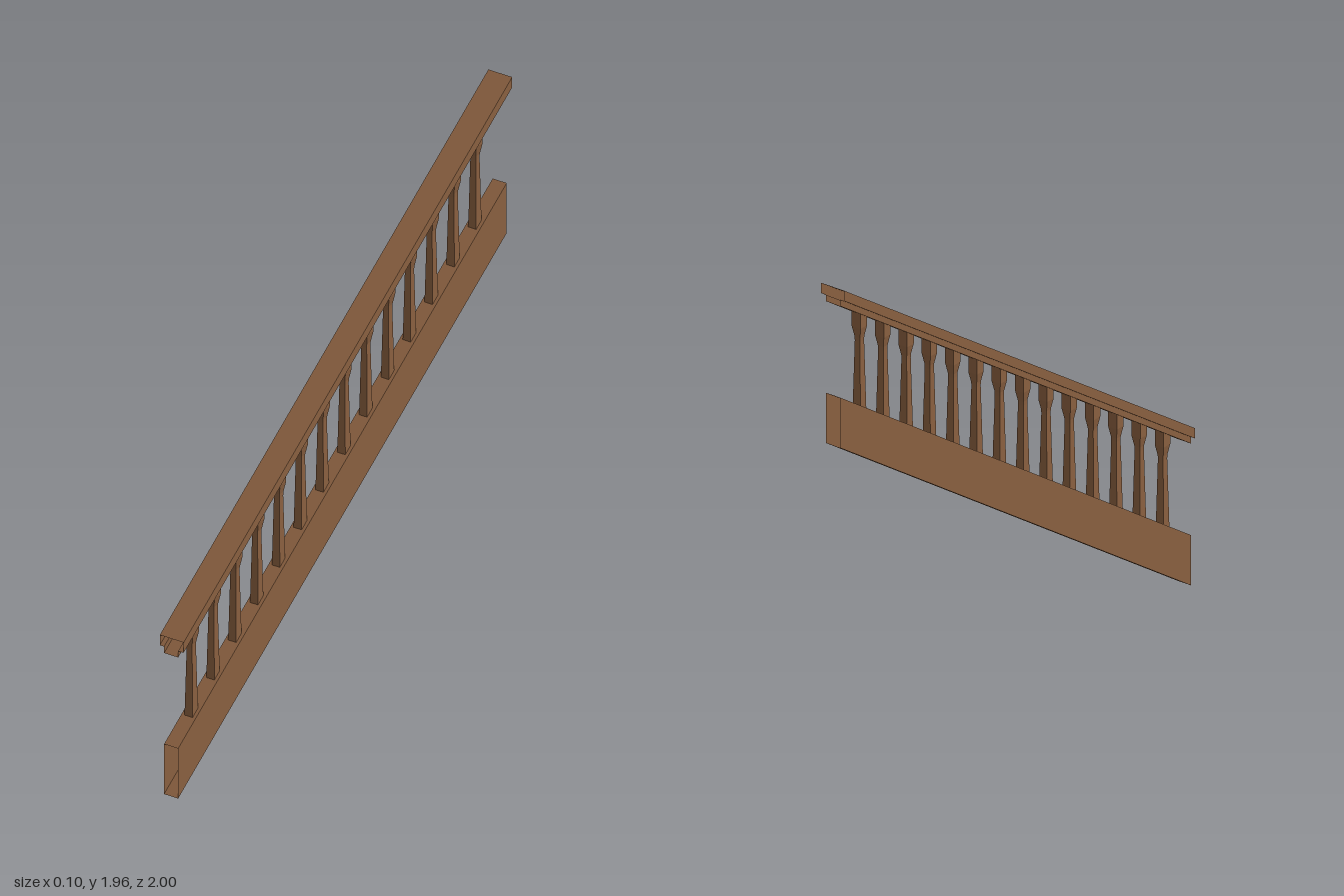
import * as THREE from 'three';

const SLOPE = 0.672; // rise per unit of run, climbing towards -z
const rise = (z) => (1 - z) * SLOPE;

// Open-ended sloping sleeve: a closed counter-clockwise profile swept from z = 1 to z = -1
function slopedSleeve(profile) {
  const pos = [];
  profile.forEach(([ax, ay], i) => {
    const [bx, by] = profile[(i + 1) % profile.length];
    const a = [ax, ay, 1], b = [bx, by, 1];
    const a2 = [ax, ay + rise(-1), -1], b2 = [bx, by + rise(-1), -1];
    pos.push(...a, ...a2, ...b2, ...a, ...b2, ...b);
  });
  const geo = new THREE.BufferGeometry();
  geo.setAttribute('position', new THREE.Float32BufferAttribute(pos, 3));
  geo.computeVertexNormals();
  return geo;
}

// Square tapered post; rows are [half width, height]
function squarePost(rows) {
  const pts = rows.map(([w, y]) => new THREE.Vector2(w * Math.SQRT2, y));
  return new THREE.LatheGeometry(pts, 4).rotateY(Math.PI / 4);
}

export function createModel() {
  const group = new THREE.Group();
  const wood = new THREE.MeshStandardMaterial({ color: 0x8a6040, flatShading: true, side: THREE.DoubleSide });
  wood.name = 'brown wood';

  const add = (name, geo) => {
    const mesh = new THREE.Mesh(geo, wood);
    mesh.name = name;
    group.add(mesh);
    return mesh;
  };

  // Deep board along the foot of the railing
  add('stringer', slopedSleeve([[-0.032, 0], [0.027, 0], [0.027, 0.195], [-0.032, 0.195]]));

  // Handrail: wide cap over a narrower lower fillet
  add('handrail', slopedSleeve([
    [-0.032, 0.55], [0.027, 0.55], [0.027, 0.575], [0.05, 0.575],
    [0.05, 0.615], [-0.05, 0.615], [-0.05, 0.575], [-0.032, 0.575],
  ]));

  // Balusters: slow taper upwards, then a flare into a square head
  const post = squarePost([
    [0.017, -0.015], [0.016, 0.03], [0.0115, 0.255], [0.012, 0.27],
    [0.019, 0.31], [0.019, 0.37],
  ]);
  for (let i = 0; i < 14; i++) {
    const z = 0.877 - i * 0.1328;
    add('baluster' + (i + 1), post).position.set(-0.0025, 0.195 + rise(z), z);
  }
  return group;
}
